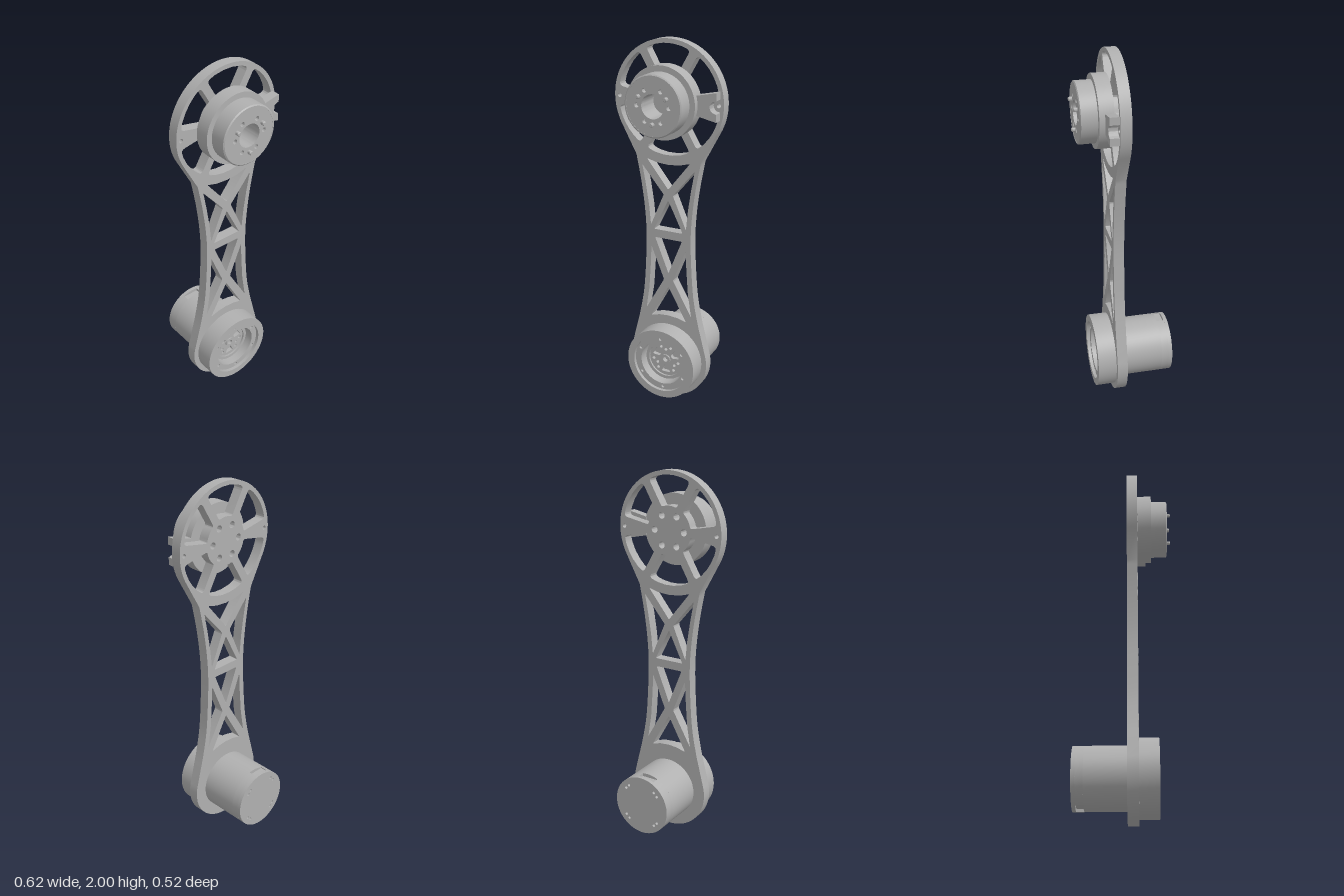
import * as THREE from 'three';
import { toCreasedNormals } from 'three/addons/utils/BufferGeometryUtils.js';

const TOP = 1.692, LOW = 0.236; // heights of the two joint axes
const rad = THREE.MathUtils.degToRad;
const polar = (r, deg, cy = 0) => [r * Math.cos(rad(deg)), cy + r * Math.sin(rad(deg))];

function arc(r, from, to, n, cy = 0) {
  return Array.from({ length: n + 1 }, (_, i) => polar(r, from + (to - from) * i / n, cy));
}

// Closed outline; a third number on a point rounds that corner
function outline(pts, Kind = THREE.Path) {
  const path = new Kind();
  pts.forEach(([x, y, r = 0], i) => {
    const toward = (q) => {
      const d = Math.hypot(q[0] - x, q[1] - y), t = Math.min(r / d, 0.45);
      return [x + (q[0] - x) * t, y + (q[1] - y) * t];
    };
    const a = toward(pts[(i + pts.length - 1) % pts.length]);
    const b = toward(pts[(i + 1) % pts.length]);
    if (i) path.lineTo(...a); else path.moveTo(...a);
    if (r) path.quadraticCurveTo(x, y, ...b);
  });
  path.closePath();
  return path;
}

const hole = (x, y, r) => new THREE.Path().absarc(x, y, r, 0, Math.PI * 2, true);
const ringHoles = (n, r, start, size) =>
  Array.from({ length: n }, (_, i) => hole(...polar(r, start + i * 360 / n), size));

function discShape(r, holes = []) {
  const s = new THREE.Shape().absarc(0, 0, r, 0, Math.PI * 2, false);
  s.holes.push(...holes);
  return s;
}

function extrude(shape, z0, z1, curveSegments = 32) {
  const g = new THREE.ExtrudeGeometry(shape, { depth: z1 - z0, bevelEnabled: false, curveSegments });
  g.translate(0, 0, z0);
  return toCreasedNormals(g, 0.5);
}

// Turned part about the z axis, profile given as [radius, z]
function turned(profile, seg = 64) {
  const g = new THREE.LatheGeometry(profile.map((p) => new THREE.Vector2(...p)), seg);
  g.rotateX(Math.PI / 2);
  return toCreasedNormals(g, 0.5);
}

function armPlate() {
  // Outer outline: large eye, waisted flank, small eye, mirrored flank
  const flank = new THREE.SplineCurve([
    [-0.187, 1.39], [-0.16, 1.25], [-0.14, 1.1], [-0.132, 0.96], [-0.137, 0.8],
    [-0.15, 0.63], [-0.175, 0.49], [-0.197, 0.4],
  ].map((p) => new THREE.Vector2(...p))).getPoints(28).map((p) => [p.x, p.y]);
  const shape = outline([
    ...arc(0.308, -30, 210, 60, TOP),
    ...flank,
    ...arc(0.232, 167, 373, 48, LOW - 0.003),
    ...flank.map(([x, y]) => [-x, y]).reverse(),
  ], THREE.Shape);

  // Six spoked windows, flared beside the horizontal spokes
  for (let k = 0; k < 6; k++) {
    const mid = 30 + 60 * k, w = 0.022, ri = 0.13, ro = 0.286;
    const half = (r) => 30 - THREE.MathUtils.radToDeg(Math.asin(w / r));
    const flare = (edge) => (edge % 180 === 0 ? 6 : 0);
    const outer = arc(ro, mid - half(ro) + flare(mid - 30), mid + half(ro) - flare(mid + 30), 5, TOP);
    outer[0][2] = outer[5][2] = 0.025;
    const inner = arc(ri, mid + half(ri), mid - half(ri), 4, TOP);
    inner[0][2] = inner[4][2] = 0.012;
    shape.holes.push(outline([...outer, ...inner]));
  }
  // Hub screws and rim holes
  for (let k = 0; k < 6; k++) shape.holes.push(hole(...polar(0.089, 60 * k, TOP), 0.018));
  for (const s of [-1, 1]) shape.holes.push(hole(s * 0.28, TOP, 0.011));

  // Cross-braced lattice
  const c = 0.008;
  const centre = [
    [[0, 1.22, c], [0.125, 1.376, c], [0.065, 1.36], [0, 1.355], [-0.065, 1.36], [-0.125, 1.376, c]],
    [[0, 1.16, c], [-0.085, 0.988, c], [0.085, 0.988, c]],
    [[0, 0.745, c], [0.08, 0.942, c], [-0.08, 0.942, c]],
    [[0, 0.665, c], [-0.107, 0.472, c], [-0.055, 0.486], [0, 0.491], [0.055, 0.486], [0.107, 0.472, c]],
  ];
  const side = [
    [[-0.153, 1.34, c], [-0.132, 1.23], [-0.115, 1.12], [-0.104, 1.01, c], [-0.027, 1.19, c]],
    [[-0.103, 0.89, c], [-0.108, 0.78], [-0.118, 0.64], [-0.138, 0.51, c], [-0.027, 0.705, c]],
  ];
  for (const p of centre) shape.holes.push(outline(p));
  for (const s of [1, -1])
    for (const p of side) shape.holes.push(outline(p.map(([x, y, r]) => [x * s, y, r])));
  return extrude(shape, 0.015, 0.072, 20);
}

export function createModel() {
  const grey = new THREE.MeshStandardMaterial({ color: 0xb0b0b0 });
  grey.name = 'machinedGrey';
  const model = new THREE.Group();
  model.name = 'robotArmLink';
  const add = (parent, name, geometry) => {
    const m = new THREE.Mesh(geometry, grey);
    m.name = name;
    parent.add(m);
    return m;
  };
  const joint = (name, y) => {
    const g = new THREE.Group();
    g.name = name;
    g.position.y = y;
    model.add(g);
    return g;
  };

  add(model, 'armPlate', armPlate());

  // Upper joint: stepped hub with central bore, screw holes and dowel pins
  const hub = joint('upperHub', TOP);
  add(hub, 'hubBody', turned([
    [0, 0.073], [0.188, 0.073], [0.188, 0.149], [0.158, 0.149], [0.158, 0.232],
    [0.152, 0.237], [0.147, 0.237], [0.147, 0.21], [0.062, 0.21], [0.062, 0.11], [0, 0.11],
  ]));
  add(hub, 'hubFace', extrude(discShape(0.148, [hole(0, 0, 0.062), ...ringHoles(6, 0.089, 0, 0.012)]), 0.209, 0.236));
  for (const a of [30, 150, 270]) {
    const pin = add(hub, 'dowelPin', turned([[0.011, 0.23], [0.011, 0.252], [0.008, 0.256], [0, 0.256]], 16));
    pin.position.set(...polar(0.089, a), 0);
  }
  // Slotted end stop beside the hub
  add(hub, 'endStop', extrude(outline([
    [0.18, -0.05], [0.288, -0.073], [0.288, -0.033], [0.262, -0.025, 0.012], [0.25, 0, 0.012],
    [0.262, 0.025, 0.012], [0.288, 0.033], [0.288, 0.073], [0.18, 0.05],
  ], THREE.Shape), 0.07, 0.12));

  // Lower joint: hollow stepped ring around a drilled output flange
  const drive = joint('lowerDrive', LOW);
  add(drive, 'bearingRing', turned([
    [0.203, 0.07], [0.203, 0.174], [0.164, 0.174], [0.164, 0.155], [0.16, 0.155],
    [0.16, 0.145], [0.128, 0.145], [0.128, 0.082], [0, 0.082],
  ]));
  add(drive, 'boltRing', extrude(discShape(0.161, [hole(0, 0, 0.127), ...ringHoles(6, 0.145, 33, 0.009)]), 0.144, 0.157));
  const pockets = [30, 150, 270].map((a) => outline([
    [...polar(0.04, a - 14), 0.006], [...polar(0.085, a - 19), 0.01],
    [...polar(0.085, a + 19), 0.01], [...polar(0.04, a + 14), 0.006],
  ]));
  const drilled = [90, 210, 330].flatMap((a) => [-22, 0, 22].map((d) => hole(...polar(d ? 0.077 : 0.06, a + d), 0.009)));
  add(drive, 'outputFlange', extrude(discShape(0.1, [...pockets, ...drilled, hole(0, 0, 0.02)]), 0.08, 0.105));
  add(drive, 'flangeCollar', turned([[0.118, 0.08], [0.118, 0.115], [0.1, 0.115], [0.1, 0.08]]));
  add(drive, 'shaftCollar', turned([[0.028, 0.1], [0.028, 0.112], [0.015, 0.112], [0.015, 0.085]], 24));

  // Motor can with a cable slot above and below, and a drilled rear cap
  const R = 0.164, xl = -0.066, xr = 0.028, floor = 0.145;
  const deg = (x) => THREE.MathUtils.radToDeg(Math.acos(x / R));
  add(drive, 'motorCan', extrude(discShape(R), -0.2, 0.02));
  add(drive, 'slottedSection', extrude(outline([
    ...arc(R, -deg(xr), deg(xr), 30), [xr, floor], [xl, floor],
    ...arc(R, deg(xl), 360 - deg(xl), 24), [xl, -floor], [xr, -floor],
  ], THREE.Shape), -0.24, -0.2));
  const capHoles = [45, 135, 225, 315].flatMap((a) => [-6, 6].map((d) => hole(...polar(0.128, a + d), 0.008)));
  add(drive, 'rearCap', extrude(discShape(R, capHoles), -0.26, -0.24));

  return model;
}
